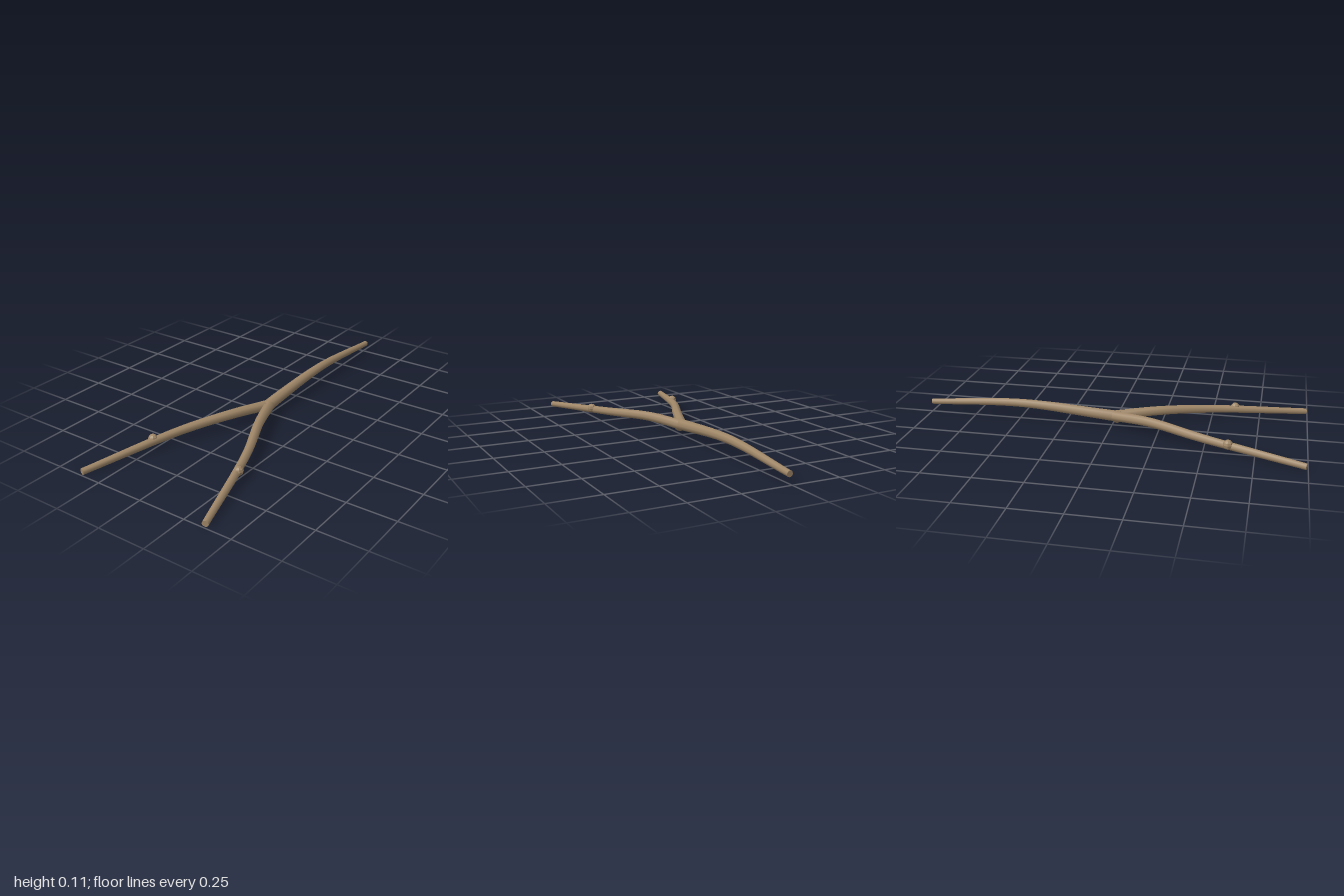
import * as THREE from 'three';

const SIDES = 8, STEPS = 24;

// Tube along a smooth path, narrowing from r0 to r1
function taperedTube(points, r0, r1) {
  const curve = new THREE.CatmullRomCurve3(points.map(p => new THREE.Vector3(...p)));
  const geo = new THREE.TubeGeometry(curve, STEPS, 1, SIDES, false);
  const pos = geo.attributes.position, v = new THREE.Vector3();
  for (let i = 0; i <= STEPS; i++) {
    const centre = curve.getPointAt(i / STEPS);
    const r = THREE.MathUtils.lerp(r0, r1, i / STEPS);
    for (let j = 0; j <= SIDES; j++) {
      const k = i * (SIDES + 1) + j;
      v.fromBufferAttribute(pos, k).sub(centre).multiplyScalar(r).add(centre);
      pos.setXYZ(k, v.x, v.y, v.z);
    }
  }
  return { geo, curve };
}

// Flat fan closing one end of a tube
function endCap({ geo, curve }, step) {
  const pos = geo.attributes.position, verts = [];
  const c = curve.getPointAt(step / STEPS);
  const ring = j => new THREE.Vector3().fromBufferAttribute(pos, step * (SIDES + 1) + j);
  const outward = curve.getTangentAt(step / STEPS).multiplyScalar(step ? 1 : -1);
  for (let j = 0; j < SIDES; j++) {
    let a = ring(j), b = ring(j + 1);
    const n = a.clone().sub(c).cross(b.clone().sub(c));
    if (n.dot(outward) < 0) [a, b] = [b, a];
    verts.push(...c.toArray(), ...a.toArray(), ...b.toArray());
  }
  const cap = new THREE.BufferGeometry();
  cap.setAttribute('position', new THREE.Float32BufferAttribute(verts, 3));
  cap.computeVertexNormals();
  return cap;
}

export function createModel() {
  const root = new THREE.Group();
  root.name = 'forkedStick';
  const bark = new THREE.MeshStandardMaterial({ color: 0xa08768 });
  const knotBark = new THREE.MeshStandardMaterial({ color: 0xa08768, flatShading: true });
  const add = (parent, name, geo, mat = bark) => {
    const mesh = new THREE.Mesh(geo, mat);
    mesh.name = name;
    parent.add(mesh);
    return mesh;
  };
  const branch = (name, points, r0, r1) => {
    const group = new THREE.Group();
    group.name = name;
    const tube = taperedTube(points, r0, r1);
    add(group, name + 'Bark', tube.geo);
    add(group, name + 'BaseCap', endCap(tube, 0));
    add(group, name + 'TipCap', endCap(tube, STEPS));
    root.add(group);
  };

  // Long stem running to the back, gently arched
  branch('stem', [[0, 0.053, 0.04], [-0.002, 0.063, -0.08], [0.003, 0.087, -0.5], [0.013, 0.055, -1]], 0.031, 0.0155);

  // Two prongs spreading to the front, each with a knot
  for (const [side, s] of [['left', 1], ['right', -1]]) {
    branch(side + 'Prong',
      [[0, 0.055, 0], [0.085 * s, 0.067, 0.22], [0.2 * s, 0.055, 0.48], [0.361 * s, 0.02, 0.993]], 0.028, 0.0165);
    add(root, side + 'Knot', new THREE.SphereGeometry(0.025, 8, 6), knotBark)
      .position.set(0.257 * s, 0.054, 0.62);
  }

  // Swelling where the three branches meet
  add(root, 'joint', new THREE.SphereGeometry(0.033, 10, 8)).position.set(0, 0.052, 0.025);
  return root;
}
